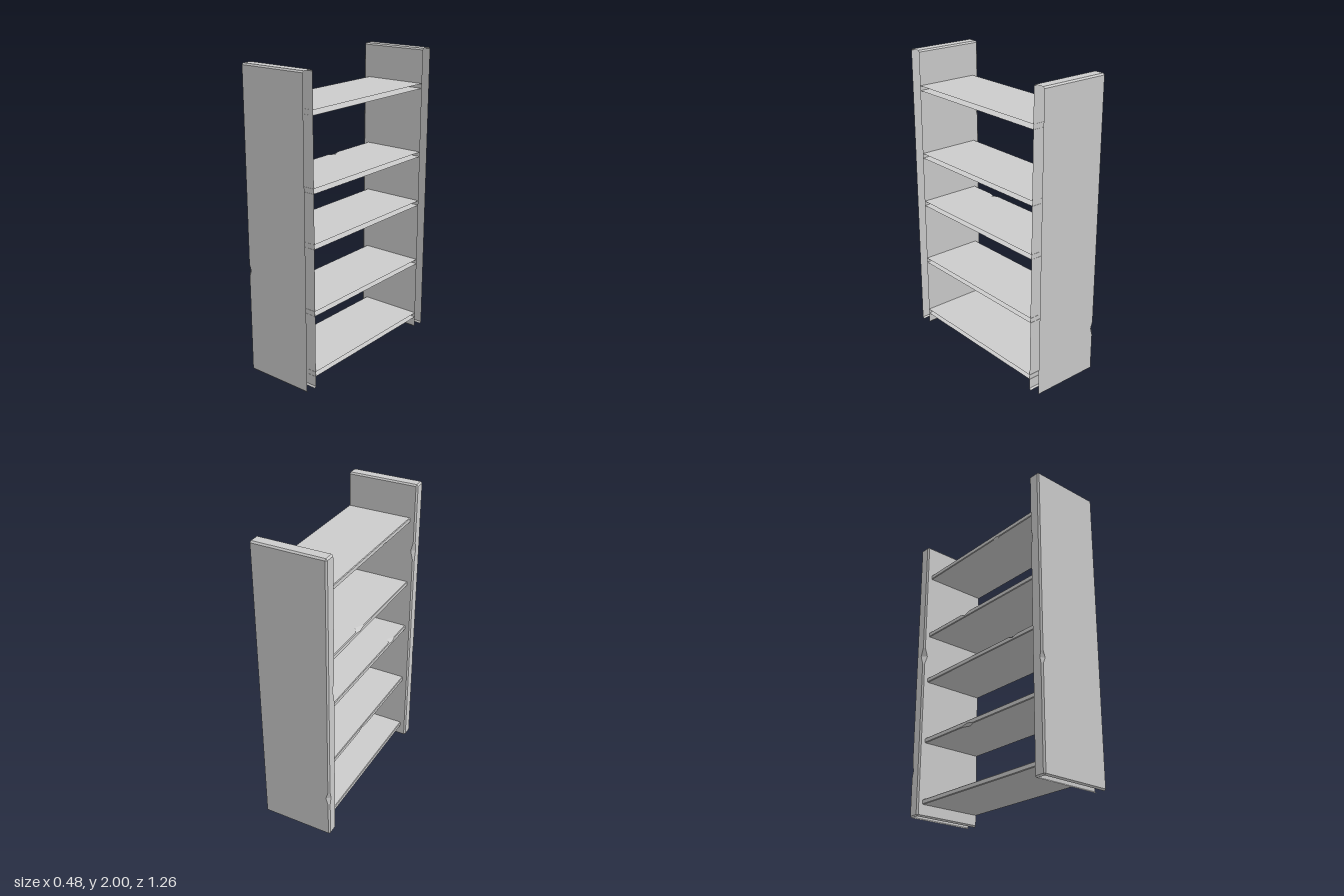
import * as THREE from 'three';

const material = new THREE.MeshStandardMaterial({ color: 0xcccccc, flatShading: true, side: THREE.DoubleSide });
const BACK = 0.24; // open edge of every board

// Board standing along y, open at +x, with a bevelled -x edge.
// chips: [position, side (+1/-1 in z), half length, depth into x, depth into z]
function boardGeometry({ front, thick, bevel, from, to, bevelEnds, chips = [] }) {
  const section = (y, inset, chip) => {
    const h = thick / 2 - inset, b = bevel - inset, x0 = front + inset;
    const corner = (side) => {
      const hit = chip && chip[1] === side;
      return [
        [x0 + b + (hit ? chip[3] : 0), y, side * h],
        [x0, y, side * (h - b - (hit ? chip[4] : 0))],
      ];
    };
    return [[BACK, y, h], ...corner(1), ...corner(-1).reverse(), [BACK, y, -h]];
  };

  // Cross-sections from end to end, with three for each chip
  const rings = [];
  if (bevelEnds) rings.push(section(from, bevel), section(from + bevel, 0));
  else rings.push(section(from, 0));
  for (const c of [...chips].sort((a, b) => a[0] - b[0])) {
    rings.push(section(c[0] - c[2], 0), section(c[0], 0, c), section(c[0] + c[2], 0));
  }
  if (bevelEnds) rings.push(section(to - bevel, 0), section(to, bevel));
  else rings.push(section(to, 0));

  const positions = [];
  const tri = (...pts) => pts.forEach((p) => positions.push(...p));
  for (let i = 0; i < rings.length - 1; i++) {
    const lo = rings[i], hi = rings[i + 1];
    for (let j = 0; j < lo.length - 1; j++) {
      tri(lo[j], hi[j], hi[j + 1]);
      tri(lo[j], hi[j + 1], lo[j + 1]);
    }
  }
  // Top cap; the underside stays open
  if (bevelEnds) {
    const top = rings[rings.length - 1];
    tri(top[0], top[5], top[3]);
    tri(top[0], top[3], top[1]);
  }
  const geometry = new THREE.BufferGeometry();
  geometry.setAttribute('position', new THREE.Float32BufferAttribute(positions, 3));
  geometry.computeVertexNormals();
  return geometry;
}

export function createModel() {
  const group = new THREE.Group();
  group.name = 'bookshelf';
  const add = (name, geometry, y, z) => {
    const mesh = new THREE.Mesh(geometry, material);
    mesh.name = name;
    mesh.position.set(0, y, z);
    group.add(mesh);
  };

  // Upright side panels
  const panel = { front: -0.24, thick: 0.083, bevel: 0.01, from: 0, to: 2, bevelEnds: true };
  add('frontSidePanel', boardGeometry({
    ...panel, chips: [[0.7, 1, 0.04, 0.015, 0.008], [1.54, -1, 0.06, 0.015, 0.012]],
  }), 0, 0.587);
  add('rearSidePanel', boardGeometry({
    ...panel, chips: [[0.31, -1, 0.05, 0.015, 0.012], [1.12, 1, 0.06, 0.02, 0.022]],
  }), 0, -0.587);

  // Shelves: [height of centre, chips along the front edge]
  const shelves = [
    [0.096, []],
    [0.51, [[0.1, -1, 0.05, 0.02, 0.011]]],
    [0.945, [[-0.33, 1, 0.04, 0.03, 0.012]]],
    [1.291, [[0.15, 1, 0.05, 0.03, 0.012]]],
    [1.755, [[-0.17, -1, 0.03, 0.01, 0.005]]],
  ];
  shelves.forEach(([y, chips], i) => {
    const geometry = boardGeometry({
      front: -0.2, thick: 0.032, bevel: 0.004, from: -0.547, to: 0.547, bevelEnds: false, chips,
    });
    add(`shelf${i + 1}`, geometry.rotateX(-Math.PI / 2), y, 0);
  });

  return group;
}
